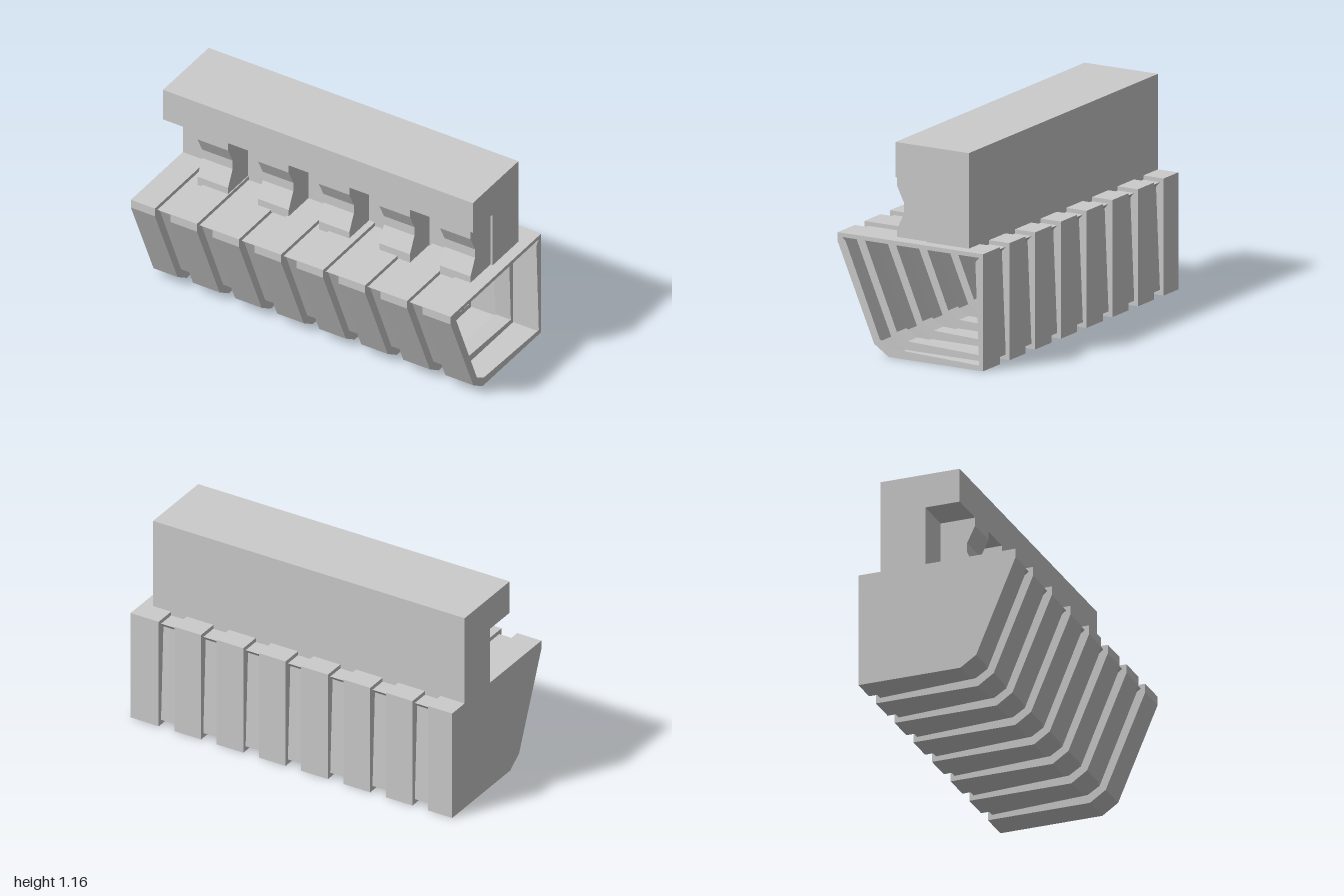
import * as THREE from 'three';

const material = new THREE.MeshStandardMaterial({ color: 0xcccccc, flatShading: true, side: THREE.DoubleSide });

// Cross-sections as [z, y]: full size at the ribs, inset at the grooves
const ribProfile = [[0.45, 0.64], [0.45, 0.59], [0.225, 0.06], [0.135, 0], [-0.447, 0], [-0.447, 0.59], [-0.447, 0.64]];
const grooveProfile = [[0.425, 0.617], [0.402, 0.6], [0.19, 0.09], [0.122, 0.048], [-0.424, 0.028], [-0.4, 0.59], [-0.424, 0.617]];

// Hollow ribbed trough: open at +x, closed at -x
function bodyGeometry() {
  const sections = [[1, grooveProfile], [1, ribProfile]];
  for (let k = 6; k >= 0; k--) {
    const start = -0.85 + 0.263 * k, end = start + 0.097;
    sections.push([end, ribProfile], [end, grooveProfile], [start, grooveProfile], [start, ribProfile]);
  }
  sections.push([-1, ribProfile]);

  const positions = [];
  const n = ribProfile.length;
  const add = (x, p) => positions.push(x, p[1], p[0]);
  for (let s = 0; s < sections.length - 1; s++) {
    const [xa, a] = sections[s];
    const [xb, b] = sections[s + 1];
    for (let i = 0; i < n; i++) {
      const j = (i + 1) % n;
      add(xa, a[i]); add(xb, b[i]); add(xa, a[j]);
      add(xb, b[i]); add(xb, b[j]); add(xa, a[j]);
    }
  }
  // End cap
  for (let i = 1; i < n - 1; i++) {
    add(-1, ribProfile[0]); add(-1, ribProfile[i + 1]); add(-1, ribProfile[i]);
  }
  const geometry = new THREE.BufferGeometry();
  geometry.setAttribute('position', new THREE.Float32BufferAttribute(positions, 3));
  geometry.computeVertexNormals();
  return geometry;
}

// Extrudes a [z, y] outline between two x positions
function extrudeAlongX(points, x0, x1) {
  const shape = new THREE.Shape(points.map(([z, y]) => new THREE.Vector2(z, y)));
  const geometry = new THREE.ExtrudeGeometry(shape, { depth: x1 - x0, bevelEnabled: false });
  return geometry.rotateY(-Math.PI / 2).translate(x1, 0, 0);
}

export function createModel() {
  const group = new THREE.Group();
  const addPart = (name, geometry) => {
    const mesh = new THREE.Mesh(geometry, material);
    mesh.name = name;
    group.add(mesh);
  };

  addPart('ribbedBody', bodyGeometry());

  // Upright wall with the overhanging rail on top
  addPart('railWall', extrudeAlongX(
    [[-0.322, 0.612], [-0.065, 0.612], [-0.065, 0.97], [0.131, 0.97], [0.131, 1.162], [-0.322, 1.162]], -1, 0.937));

  // Notched brackets under the overhang
  const bracket = [[-0.065, 0.627], [0.131, 0.627], [0.131, 0.68], [0.086, 0.775],
    [0.086, 0.83], [0.131, 0.922], [0.131, 0.97], [-0.065, 0.97]];
  for (let i = 0; i < 5; i++) {
    const x = -0.784 + 0.379 * i;
    addPart('bracket' + (i + 1), extrudeAlongX(bracket, x, x + 0.191));
  }
  return group;
}
